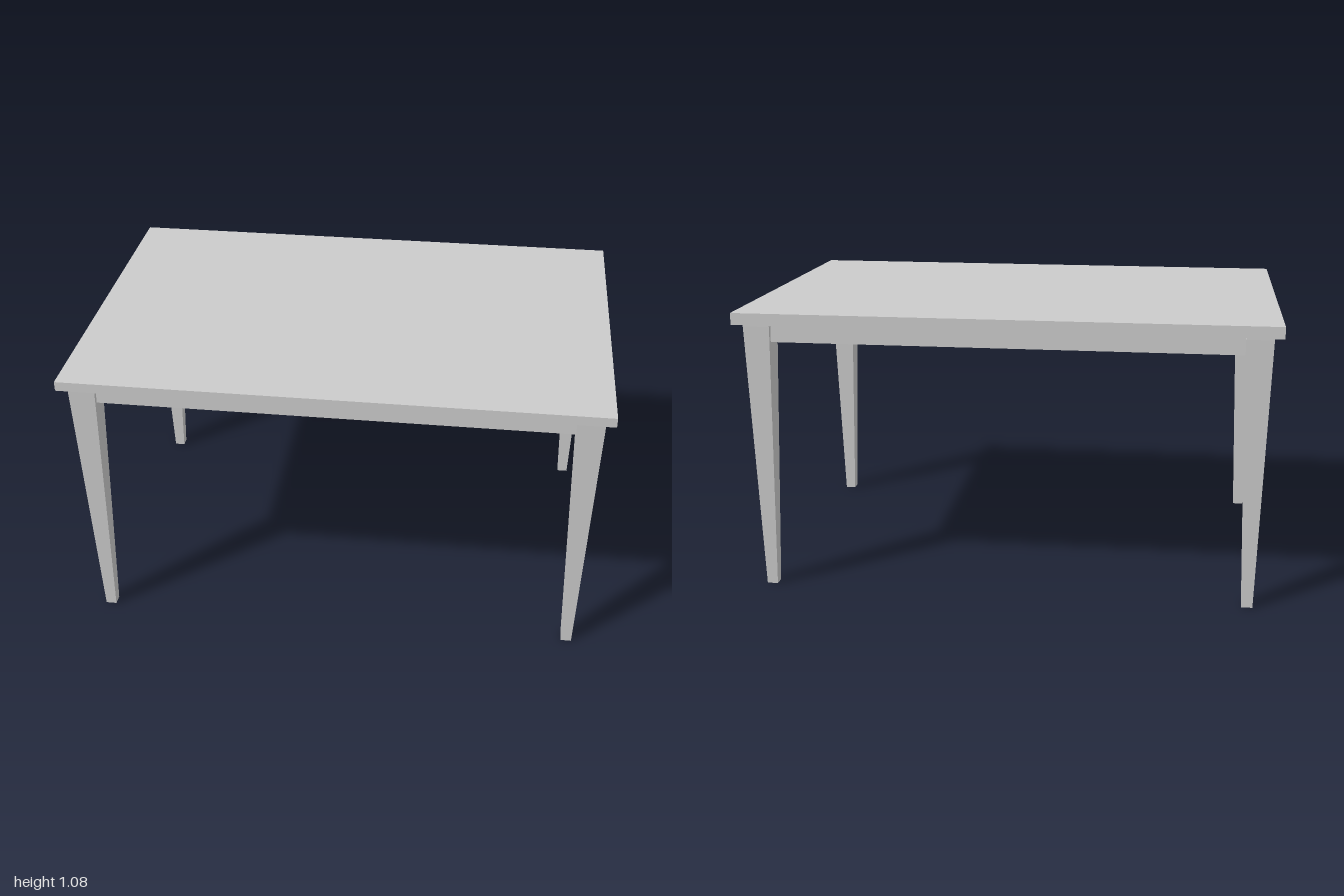
import * as THREE from 'three';

const W = 2, D = 1.354;            // tabletop size
const TOP_Y = 1.04;                // underside of the tabletop
const LEG_X = 0.917, LEG_Z = 0.592;
const material = new THREE.MeshStandardMaterial({ color: 0xcccccc, flatShading: true });

function addMesh(group, name, geometry, x = 0, y = 0, z = 0) {
  const mesh = new THREE.Mesh(geometry, material);
  mesh.name = name;
  mesh.position.set(x, y, z);
  group.add(mesh);
  return mesh;
}

// Slab whose upper face rises slightly towards the back
function tabletopGeometry() {
  const g = new THREE.BoxGeometry(W, 1, D);
  const p = g.attributes.position;
  for (let i = 0; i < p.count; i++) {
    const rise = p.getZ(i) > 0 ? 0.036 : 0.044;
    p.setY(i, p.getY(i) > 0 ? TOP_Y + rise : TOP_Y);
  }
  g.computeVertexNormals();
  return g;
}

// Square leg tapering to the foot, with a small chamfer at the inner top edges
function legGeometry(sx, sz) {
  const g = new THREE.BoxGeometry(1, 2, 1, 1, 2, 1);
  const p = g.attributes.position;
  for (let i = 0; i < p.count; i++) {
    const level = Math.round(p.getY(i)) + 1;
    const half = level === 0 ? 0.0205 : 0.05;
    const inset = (v, s) => Math.sign(v) * (level === 2 && v * s < 0 ? half - 0.008 : half);
    p.setXYZ(i, inset(p.getX(i), sx), [0, TOP_Y - 0.012, TOP_Y][level], inset(p.getZ(i), sz));
  }
  g.computeVertexNormals();
  return g;
}

export function createModel() {
  const table = new THREE.Group();
  table.name = 'table';

  addMesh(table, 'tabletop', tabletopGeometry());

  // Four legs
  for (const sx of [-1, 1]) {
    for (const sz of [-1, 1]) {
      const name = (sz > 0 ? 'front' : 'back') + (sx > 0 ? 'Left' : 'Right') + 'Leg';
      addMesh(table, name, legGeometry(sx, sz), sx * LEG_X, 0, sz * LEG_Z);
    }
  }

  // Apron rails between the legs, set slightly back from their outer faces
  const h = 0.072, t = 0.05, y = TOP_Y - h / 2;
  for (const s of [-1, 1]) {
    addMesh(table, s > 0 ? 'frontApron' : 'backApron',
      new THREE.BoxGeometry(2 * LEG_X - 0.08, h, t), 0, y, s * 0.6);
    addMesh(table, s > 0 ? 'leftApron' : 'rightApron',
      new THREE.BoxGeometry(t, h, 2 * LEG_Z - 0.08), s * 0.925, y, 0);
  }
  return table;
}
